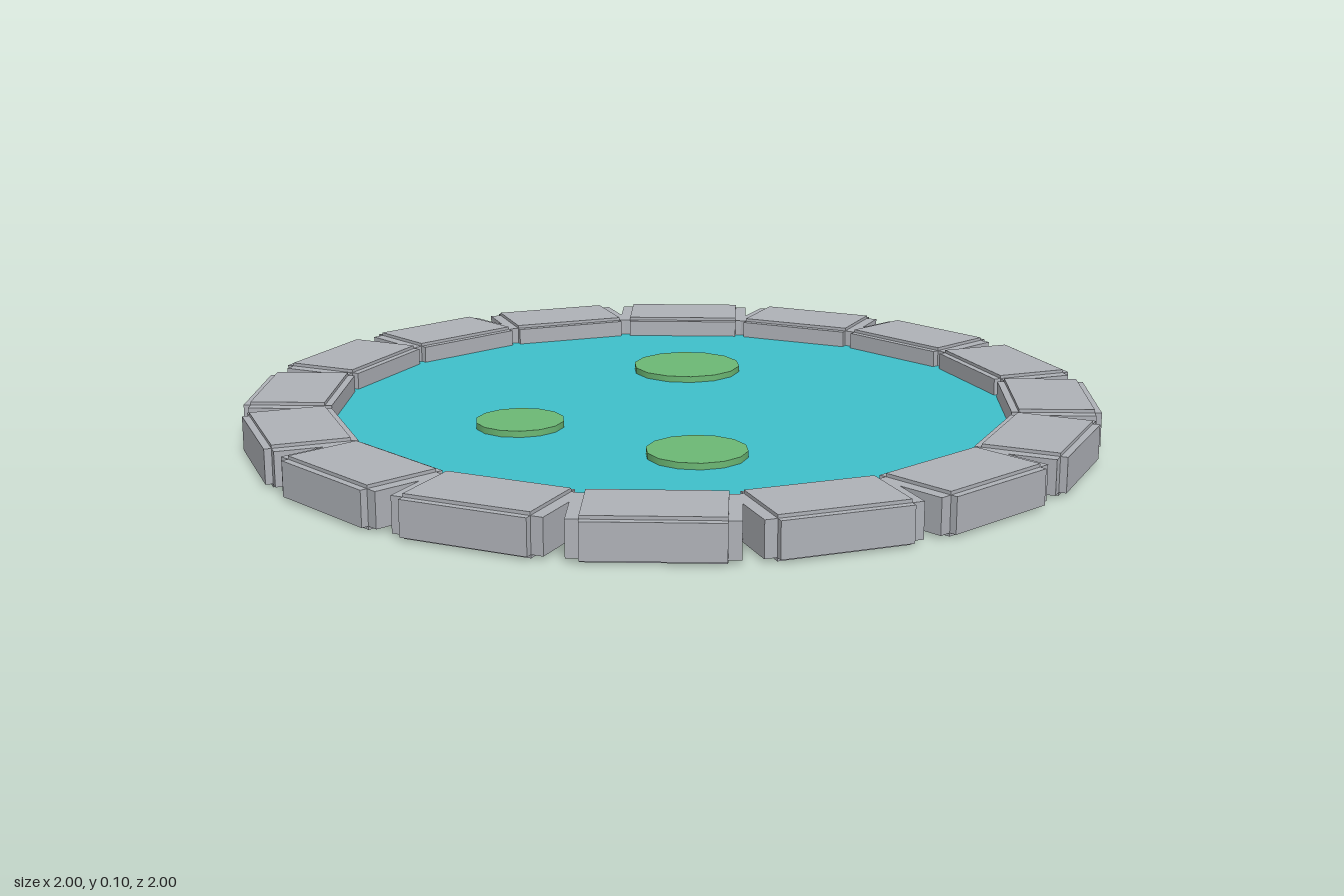
import * as THREE from 'three';

const stoneMat = new THREE.MeshStandardMaterial({ color: 0xaeb1b7 });
stoneMat.name = 'grey stone';
const waterMat = new THREE.MeshStandardMaterial({ color: 0x3fbfca });
waterMat.name = 'turquoise water';
const padMat = new THREE.MeshStandardMaterial({ color: 0x6cb874 });
padMat.name = 'leaf green';

// Rim block with stepped edges: three crossed boxes, each full size on one axis
function makeStone(length, height, depth) {
  const stone = new THREE.Group();
  const size = [length, height, depth];
  const inset = 0.84;
  for (let axis = 0; axis < 3; axis++) {
    const dims = size.map((s, i) => (i === axis ? s : s * inset));
    const block = new THREE.Mesh(new THREE.BoxGeometry(...dims), stoneMat);
    block.name = 'stoneBlock';
    stone.add(block);
  }
  return stone;
}

function makeDisc(name, radius, height, sides, material, x, y, z) {
  const disc = new THREE.Mesh(new THREE.CylinderGeometry(radius, radius, height, sides), material);
  disc.name = name;
  disc.position.set(x, y, z);
  return disc;
}

export function createModel() {
  const pond = new THREE.Group();
  pond.name = 'pond';

  // Ring of rim stones
  const count = 16;
  const ringRadius = 0.896;
  for (let i = 0; i < count; i++) {
    const angle = (i / count) * Math.PI * 2;
    const stone = makeStone(0.347, 0.096, 0.208);
    stone.name = 'rimStone';
    stone.position.set(Math.sin(angle) * ringRadius, 0.048, Math.cos(angle) * ringRadius);
    stone.rotation.y = angle;
    pond.add(stone);
  }

  // Water sheet tucked into the stones
  pond.add(makeDisc('water', 0.84, 0.008, 32, waterMat, 0, 0.044, 0));

  // Floating lily pads: x, z, radius
  for (const [x, z, r] of [[-0.267, -0.3, 0.136], [0.326, 0.227, 0.115], [-0.135, 0.358, 0.104]]) {
    pond.add(makeDisc('lilyPad', r, 0.016, 14, padMat, x, 0.055, z));
  }

  return pond;
}
